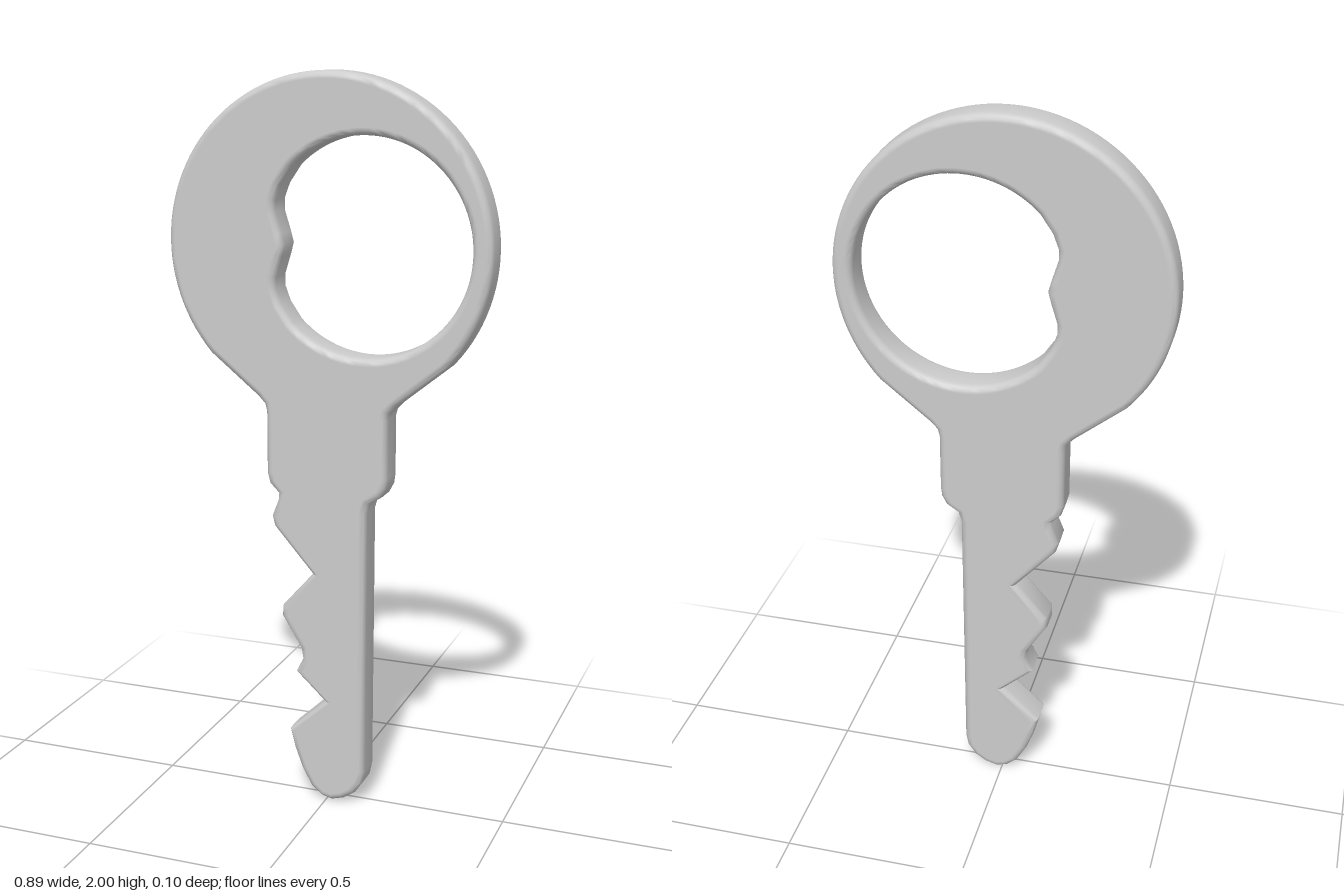
import * as THREE from 'three';
import { toCreasedNormals } from 'three/addons/utils/BufferGeometryUtils.js';

const HEAD_Y = 1.556, HEAD_R = 0.444;
const BEVEL = 0.02, HALF = 0.05;

// Follow a list of [x, y] points with straight edges
const trace = (path, points) => points.forEach(([x, y]) => path.lineTo(x, y));

function keyOutline() {
  const s = new THREE.Shape();
  // right side of the collar, up into the round bow
  s.moveTo(0.171, 1.11);
  trace(s, [[0.176, 1.13], [0.195, 1.15]]);
  s.absarc(0, HEAD_Y, HEAD_R, -0.735, Math.PI + 0.735, false);
  // left side of the collar and its rounded shoulder
  trace(s, [[-0.195, 1.15], [-0.176, 1.13], [-0.171, 1.11], [-0.171, 0.94],
    [-0.163, 0.91], [-0.138, 0.885]]);
  // cut teeth
  trace(s, [[-0.14, 0.865], [-0.158, 0.82], [-0.15, 0.79], [-0.04, 0.665],
    [-0.128, 0.565], [-0.13, 0.535], [-0.075, 0.445], [-0.07, 0.415], [-0.09, 0.375],
    [-0.005, 0.297], [-0.109, 0.2]]);
  // rounded tip
  trace(s, [[-0.095, 0.145], [-0.073, 0.085], [-0.045, 0.035], [-0.015, 0.01],
    [0.015, 0.002], [0.05, 0.012], [0.082, 0.033], [0.104, 0.065], [0.111, 0.1]]);
  // plain back of the blade and right shoulder
  trace(s, [[0.114, 0.85], [0.122, 0.878], [0.155, 0.9], [0.168, 0.925], [0.171, 0.95]]);
  s.closePath();
  return s;
}

function bowHole() {
  const h = new THREE.Path();
  h.absarc(0.105, HEAD_Y, 0.285, -2.35, 2.35, false);
  // two shallow lobes meeting at a small point
  const lobe = [[-0.128, 0.155], [-0.143, 0.115], [-0.143, 0.085], [-0.126, 0.03]];
  trace(h, lobe.map(([x, y]) => [x, HEAD_Y + y]));
  h.lineTo(-0.118, HEAD_Y);
  trace(h, lobe.slice().reverse().map(([x, y]) => [x, HEAD_Y - y]));
  h.closePath();
  return h;
}

export function createModel() {
  const group = new THREE.Group();
  group.name = 'key';

  const shape = keyOutline();
  shape.holes.push(bowHole());
  let geo = new THREE.ExtrudeGeometry(shape, {
    depth: 2 * (HALF - BEVEL), curveSegments: 40, bevelEnabled: true,
    bevelSize: BEVEL, bevelThickness: BEVEL, bevelOffset: -BEVEL, bevelSegments: 4,
  });
  geo.translate(0, 0, BEVEL - HALF);
  geo = toCreasedNormals(geo, 0.7);

  // keep the broad faces truly flat
  const pos = geo.attributes.position, nor = geo.attributes.normal;
  for (let i = 0; i < pos.count; i++) {
    const z = pos.getZ(i);
    if (Math.abs(z) > HALF - 1e-4) nor.setXYZ(i, 0, 0, Math.sign(z));
  }

  const body = new THREE.Mesh(geo, new THREE.MeshStandardMaterial({ color: 0xcccccc }));
  body.name = 'keyBody';
  group.add(body);
  return group;
}
